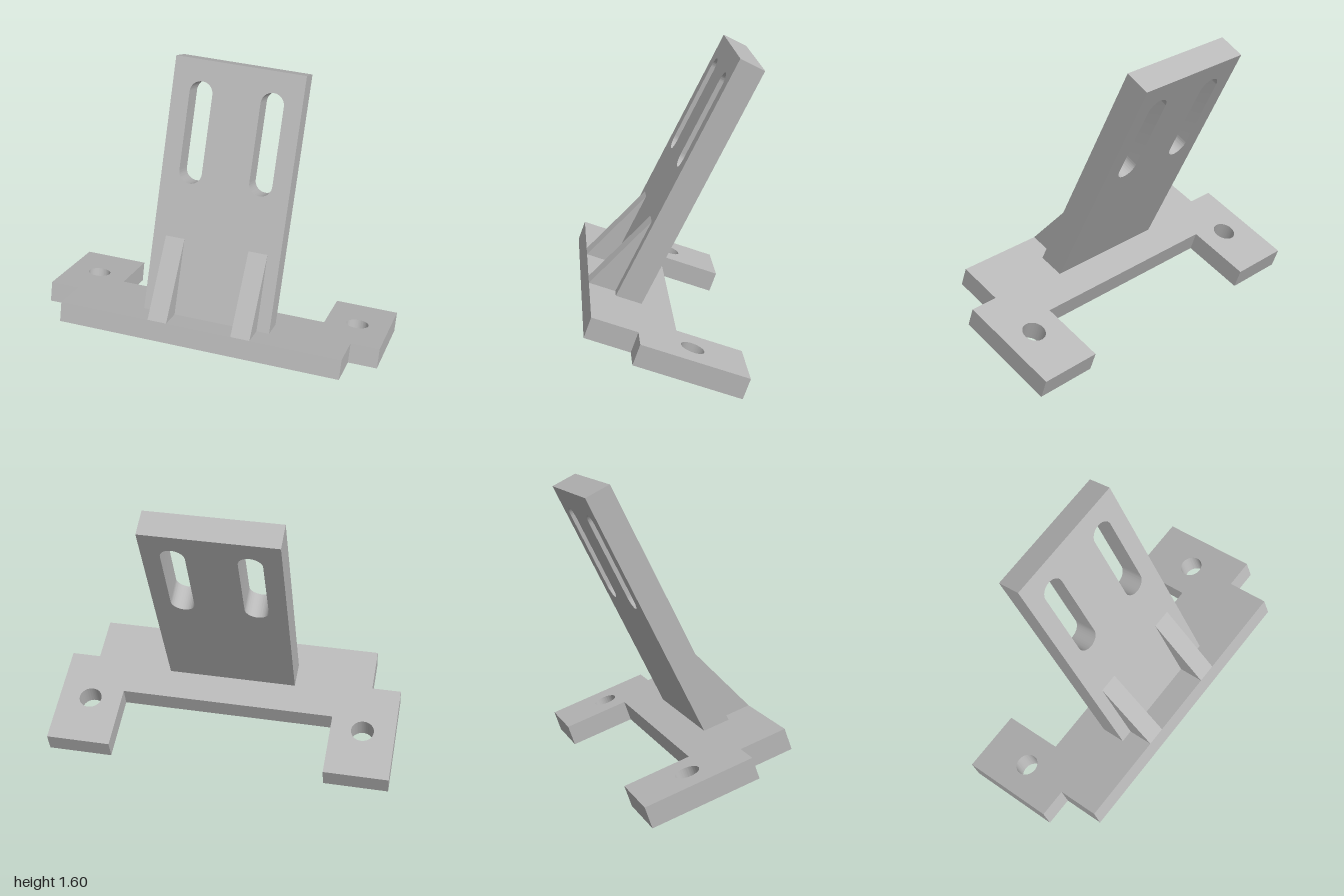
import * as THREE from 'three';
import { toCreasedNormals } from 'three/addons/utils/BufferGeometryUtils.js';

const deg = THREE.MathUtils.degToRad;
const grey = new THREE.MeshStandardMaterial({ color: 0xb8b8b8 });
grey.name = 'light grey';

const polygon = (points) => new THREE.Shape(points.map(([x, y]) => new THREE.Vector2(x, y)));

function extrude(shape, depth) {
  const geometry = new THREE.ExtrudeGeometry(shape, { depth, bevelEnabled: false, curveSegments: 24 });
  return toCreasedNormals(geometry, deg(30));
}

function addMesh(parent, name, geometry) {
  const mesh = new THREE.Mesh(geometry, grey);
  mesh.name = name;
  parent.add(mesh);
  return mesh;
}

// Rounded slot outline; equal ends make a plain round hole
function slot(x, bottom, top, radius) {
  const path = new THREE.Path();
  path.absarc(x, top, radius, 0, Math.PI, false);
  path.absarc(x, bottom, radius, Math.PI, Math.PI * 2, false);
  path.closePath();
  return path;
}

export function createModel() {
  const model = new THREE.Group();
  model.name = 'mountingBracket';

  // Tilted frame: origin at the middle of the base plate's front top edge
  const bracket = new THREE.Group();
  bracket.name = 'bracket';
  bracket.rotation.set(deg(-20), deg(-16.2), 0, 'YXZ');
  bracket.position.set(-0.14, 0.395, 0.377);
  model.add(bracket);

  // Base plate with two drilled tabs, outlined as x and depth behind the front edge
  const thickness = 0.115;
  const half = [[0.796, 0], [0.796, 0.25], [0.957, 0.25], [0.957, 0.833], [0.6, 0.833], [0.6, 0.47]];
  const mirrored = half.map(([x, d]) => [-x, d]).reverse();
  const plate = polygon([...half, ...mirrored]);
  for (const side of [-1, 1]) plate.holes.push(slot(side * 0.778, 0.542, 0.542, 0.063));
  const plateGeometry = extrude(plate, thickness);
  plateGeometry.rotateX(-Math.PI / 2).translate(0, -thickness, 0);
  addMesh(bracket, 'basePlate', plateGeometry);

  // Upright plate with two slots, leaning back and sunk slightly into the base
  const height = 1.415;
  const upright = polygon([[-0.361, -0.03], [0.361, -0.03], [0.361, height], [-0.361, height]]);
  for (const side of [-1, 1]) {
    upright.holes.push(slot(side * 0.198, height - 0.612, height - 0.18, 0.064));
  }
  const uprightMesh = addMesh(bracket, 'uprightPlate', extrude(upright, 0.144).translate(0, 0, -0.144));
  uprightMesh.position.z = -0.149;
  uprightMesh.rotation.x = deg(-7);

  // Triangular ribs bracing the upright against the front of the base
  const ribWidth = 0.107;
  const rib = polygon([[0, 0], [0.17, 0], [0.2015, 0.428]]);
  const ribGeometry = extrude(rib, ribWidth).rotateY(Math.PI / 2).translate(-ribWidth / 2, 0, 0);
  for (const side of [-1, 1]) {
    addMesh(bracket, side > 0 ? 'leftRib' : 'rightRib', ribGeometry).position.x = side * 0.236;
  }

  return model;
}
